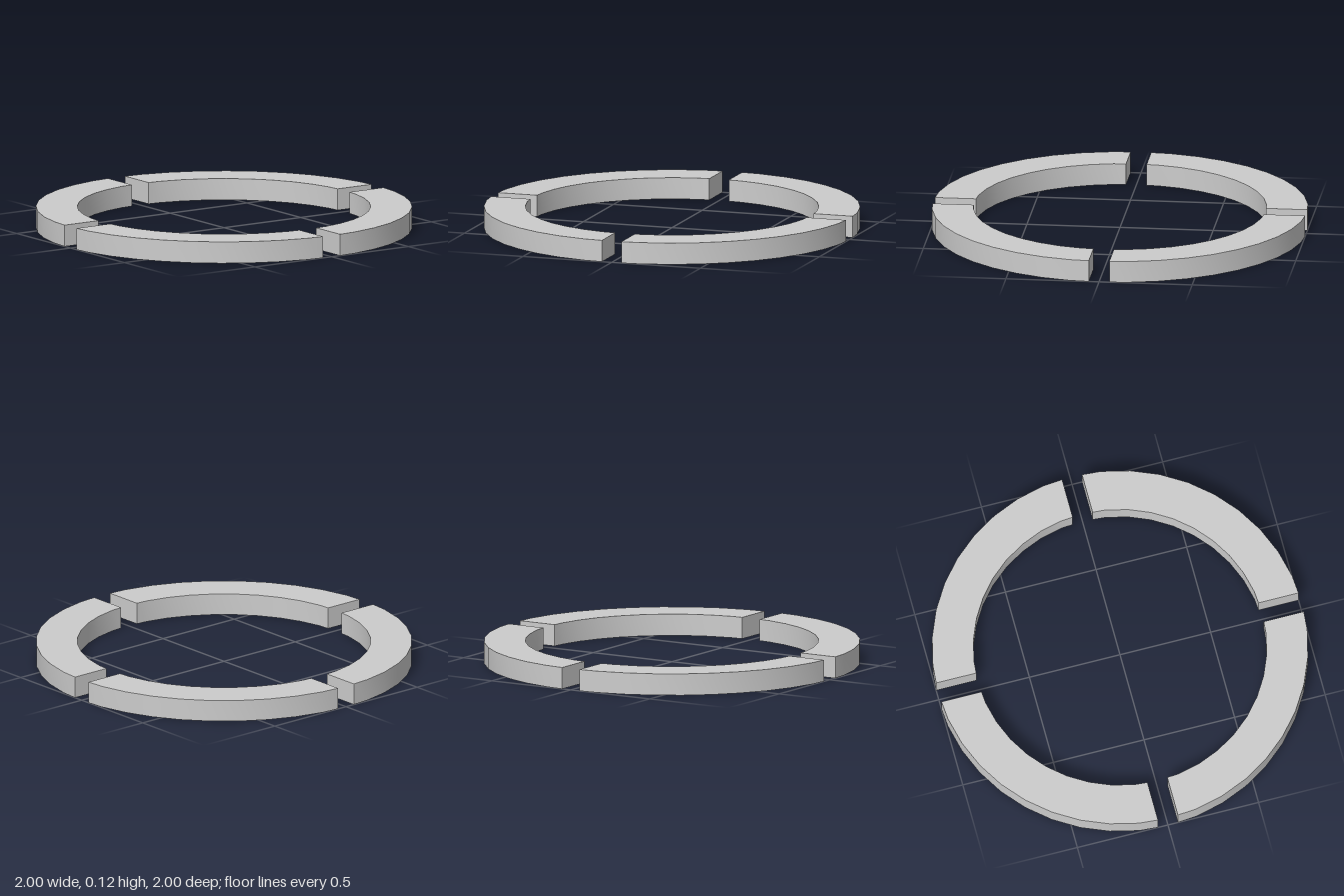
import * as THREE from 'three';
import { toCreasedNormals } from 'three/addons/utils/BufferGeometryUtils.js';

const OUTER = 1.004, INNER = 0.783, HEIGHT = 0.116, HALF_GAP = 0.055;
const STEPS = 10; // facets per quarter circle

// Quarter arc trimmed by straight cuts parallel to both axes
function quarterArc(radius) {
  const step = Math.PI / 2 / STEPS;
  const t = HALF_GAP / (radius * Math.sin(step));
  const end = radius * (1 - t * (1 - Math.cos(step)));
  const points = [new THREE.Vector2(end, HALF_GAP)];
  for (let i = 1; i < STEPS; i++) {
    points.push(new THREE.Vector2(radius * Math.cos(i * step), radius * Math.sin(i * step)));
  }
  points.push(new THREE.Vector2(HALF_GAP, end));
  return points;
}

export function createModel() {
  const group = new THREE.Group();
  group.name = 'segmentedRing';
  const material = new THREE.MeshStandardMaterial({ color: 0xcccccc });

  // One curved block, laid flat with its base on y = 0
  const shape = new THREE.Shape([...quarterArc(OUTER), ...quarterArc(INNER).reverse()]);
  const extruded = new THREE.ExtrudeGeometry(shape, { depth: HEIGHT, bevelEnabled: false });
  extruded.rotateX(-Math.PI / 2);
  const geometry = toCreasedNormals(extruded, Math.PI / 6);

  // Four equal blocks around the centre
  ['backLeft', 'backRight', 'frontRight', 'frontLeft'].forEach((side, i) => {
    const segment = new THREE.Mesh(geometry, material);
    segment.name = side + 'RingSegment';
    segment.rotation.y = (i * Math.PI) / 2;
    group.add(segment);
  });
  return group;
}
